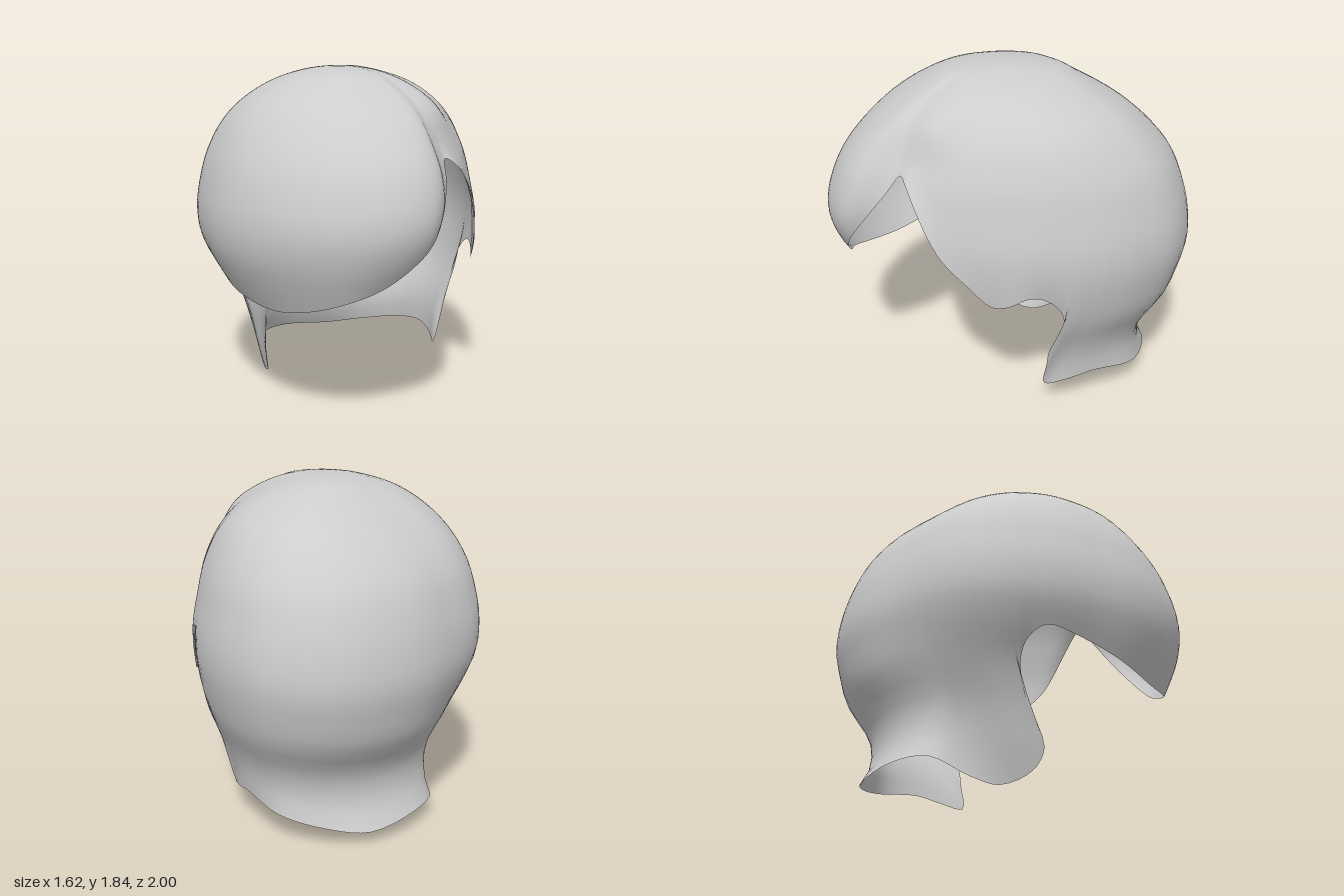
import * as THREE from 'three';
import { mergeVertices } from 'three/addons/utils/BufferGeometryUtils.js';

const TOP = 1.842, DEG = Math.PI / 180, TAU = Math.PI * 2;

// Smooth interpolation through sorted knots
function smooth(xs, ys, x) {
  const n = xs.length;
  let i = 0;
  while (i < n - 2 && x > xs[i + 1]) i++;
  const slope = k => {
    const a = Math.max(k - 1, 0), b = Math.min(k + 1, n - 1);
    return (ys[b] - ys[a]) / (xs[b] - xs[a]);
  };
  const h = xs[i + 1] - xs[i], t = THREE.MathUtils.clamp((x - xs[i]) / h, 0, 1);
  const t2 = t * t, t3 = t2 * t;
  return (2 * t3 - 3 * t2 + 1) * ys[i] + (t3 - 2 * t2 + t) * h * slope(i)
    + (3 * t2 - 2 * t3) * ys[i + 1] + (t3 - t2) * h * slope(i + 1);
}

// Widest outline seen from above, as [x, z], running from the left side round the front
const OUTLINE = [
  [0.78, 0.03], [0.75, 0.15], [0.68, 0.35], [0.61, 0.5], [0.5, 0.65], [0.43, 0.76], [0.39, 0.88],
  [0.28, 0.96], [0.07, 1.0], [-0.2, 0.95], [-0.4, 0.84], [-0.6, 0.65], [-0.72, 0.45], [-0.79, 0.2],
  [-0.815, 0], [-0.8, -0.2], [-0.74, -0.44], [-0.64, -0.61], [-0.4, -0.81], [-0.15, -0.95],
  [0.25, -1.0], [0.46, -0.93], [0.62, -0.81], [0.74, -0.6], [0.785, -0.45], [0.81, -0.2],
];
const ring = OUTLINE.map(([x, z]) => [(Math.atan2(z, x) + TAU) % TAU, Math.hypot(x, z)]);
const last = ring[ring.length - 1];
const wrapped = [[last[0] - TAU, last[1]], ...ring, [ring[0][0] + TAU, ring[0][1]]];
const ringA = wrapped.map(p => p[0]), ringR = wrapped.map(p => p[1]);

// Share of the outline reached at each height, for the four sides
const depth = [TOP, 1.82, 1.75, 1.6, 1.4, 1.2, 1.05, 0.9, 0.75, 0.6, 0.4, 0.2, 0].map(y => Math.sqrt(TOP - y));
const FRONT = [0, 0.29, 0.46, 0.69, 0.88, 0.975, 1, 0.975, 0.92, 0.86, 0.8, 0.8, 0.8];
const RIGHT = [0, 0.26, 0.51, 0.76, 0.91, 0.98, 1, 0.97, 0.87, 0.74, 0.65, 0.59, 0.52];
const BACK = [0, 0.27, 0.42, 0.665, 0.865, 0.955, 0.99, 1, 0.965, 0.91, 0.76, 0.7, 0.7];
const LEFT = [0, 0.23, 0.5, 0.75, 0.89, 0.955, 0.99, 0.99, 0.96, 0.91, 0.81, 0.74, 0.72];

function radius(angle, w) {
  const a = ((angle % TAU) + TAU) % TAU;
  const c = Math.cos(a), s = Math.sin(a);
  const share = c * c * smooth(depth, c > 0 ? LEFT : RIGHT, w)
    + s * s * smooth(depth, s > 0 ? FRONT : BACK, w);
  // The parting dent fades out into a round, slightly skewed crown above the notch
  const crown = 1 - THREE.MathUtils.smoothstep(w, 0.38, 0.65);
  const fill = 0.16 * Math.exp(-(((a / DEG - 48) / 17) ** 2)) - 0.025 * Math.sin(2 * a);
  return smooth(ringA, ringR, a) * share * (1 + crown * fill);
}

// Hem as [x, y, z, sweep], sweep being how far (degrees) the strand starts from its end
const HEM = [
  // fringe
  [0.43, 1.39, 0.6], [0.42, 1.3, 0.67], [0.38, 1.15, 0.78], [0.3, 1.0, 0.87], [0.19, 0.89, 0.89],
  [0.04, 0.785, 0.88], [-0.13, 0.72, 0.86], [-0.3, 0.66, 0.76], [-0.46, 0.63, 0.6],
  [-0.62, 0.67, 0.35], [-0.69, 0.73, 0.1], [-0.71, 0.76, -0.1],
  // right nape flap
  [-0.66, 0.7, -0.18, 1], [-0.6, 0.6, -0.2, 3], [-0.53, 0.4, -0.14, 11], [-0.48, 0.2, -0.03, 28],
  [-0.45, 0.08, -0.08, 28], [-0.41, 0, -0.24, 14], [-0.41, 0.03, -0.4, 5],
  // flipped back edge
  [-0.4, 0.11, -0.6, 2], [-0.24, 0.11, -0.75], [0.05, 0.08, -0.84], [0.27, 0.11, -0.79], [0.49, 0.16, -0.65],
  // left nape flap
  [0.59, 0.2, -0.41, -3], [0.61, 0.17, -0.25, -10], [0.6, 0.15, -0.13, -15], [0.64, 0.3, -0.13, -10],
  [0.67, 0.42, -0.14, -6], [0.73, 0.58, -0.2, 2], [0.76, 0.72, -0.17, 3], [0.77, 0.8, -0.08, 2],
  // left side up to the notch
  [0.77, 0.81, 0], [0.75, 0.76, 0.1], [0.72, 0.75, 0.18], [0.7, 0.87, 0.3], [0.66, 1.0, 0.42],
  [0.63, 1.13, 0.49], [0.56, 1.28, 0.55], [0.49, 1.36, 0.58],
];

function hairGeometry() {
  const n = HEM.length, cols = n * 4, rows = 40;
  const hem = new THREE.CatmullRomCurve3(HEM.map(([x, y, z]) => new THREE.Vector3(x, y, z)), true);
  const pos = [], index = [];
  for (let i = 0; i <= cols; i++) {
    const u = (i % cols) / cols, k = Math.floor(u * n + 1e-6), f = u * n - k;
    const end = hem.getPoint(u);
    const sweep = THREE.MathUtils.lerp(HEM[k % n][3] ?? 0, HEM[(k + 1) % n][3] ?? 0, f) * DEG;
    const angle = Math.atan2(end.z, end.x);
    const wEnd = Math.sqrt(TOP - end.y);
    const fit = Math.hypot(end.x, end.z) / radius(angle, wEnd);
    // Strand from crown to hem; outward flips are short, inward curls are longer
    const curl = fit > 1 ? 16 : 10;
    for (let j = 0; j <= rows; j++) {
      const t = j / rows, w = wEnd * t;
      const a = angle + sweep * (1 - t ** 8);
      const r = radius(a, w) * THREE.MathUtils.lerp(1, fit, t ** curl);
      pos.push(r * Math.cos(a), TOP - w * w, r * Math.sin(a));
      if (i < cols && j < rows) {
        const p = i * (rows + 1) + j, q = p + rows + 1;
        if (j > 0) index.push(p, q, p + 1);
        index.push(q, q + 1, p + 1);
      }
    }
  }
  const geo = new THREE.BufferGeometry();
  geo.setAttribute('position', new THREE.Float32BufferAttribute(pos, 3));
  geo.setIndex(index);
  const merged = mergeVertices(geo, 1e-5);
  merged.computeVertexNormals();
  return merged;
}

export function createModel() {
  const group = new THREE.Group();
  group.name = 'hairpiece';
  const grey = new THREE.MeshStandardMaterial({ color: 0xcccccc, side: THREE.DoubleSide });
  grey.name = 'light grey';
  const hair = new THREE.Mesh(hairGeometry(), grey);
  hair.name = 'hairShell';
  group.add(hair);
  return group;
}
